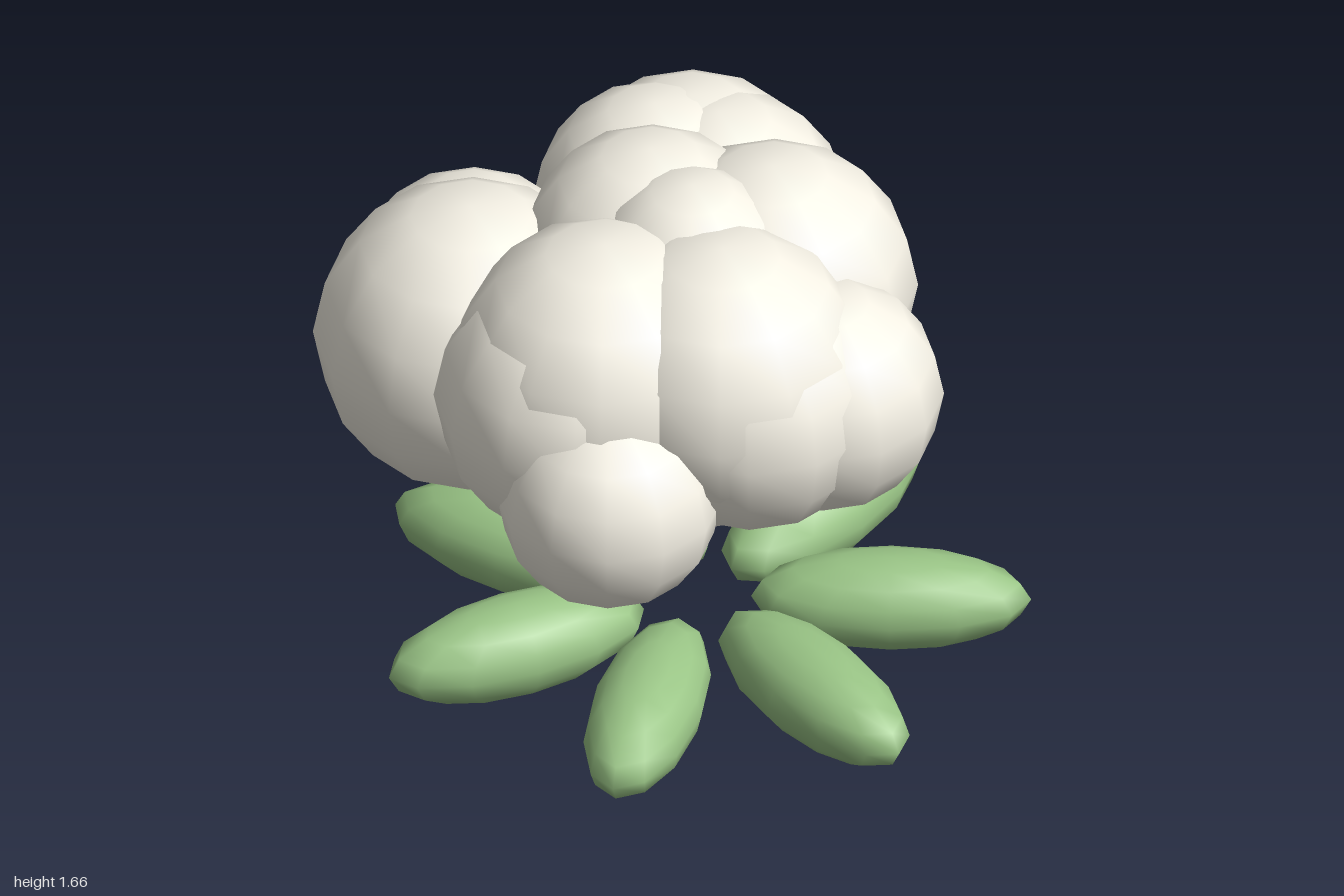
import * as THREE from 'three';

export function createModel() {
  const model = new THREE.Group();
  const ball = new THREE.SphereGeometry(1, 12, 8);
  const cream = new THREE.MeshStandardMaterial({ color: 0xf5f1e5 });
  const green = new THREE.MeshStandardMaterial({ color: 0x9ac586 });

  // Clustered head of overlapping florets: x, y, z, radius
  const florets = [
    [-0.56, 1.04, 0.0, 0.44],
    [-0.56, 1.0, -0.25, 0.35],
    [0.04, 1.05, -0.585, 0.39],
    [-0.06, 1.12, -0.52, 0.34],
    [0.12, 1.06, -0.51, 0.38],
    [0.28, 1.225, -0.005, 0.405],
    [-0.06, 1.285, -0.05, 0.365],
    [0.06, 1.355, 0.13, 0.305],
    [0.15, 1.21, 0.385, 0.42],
    [0.23, 1.15, 0.42, 0.38],
    [0.43, 1.12, 0.36, 0.335],
    [-0.18, 1.2, 0.375, 0.43],
    [-0.25, 1.13, 0.41, 0.405],
    [-0.16, 0.97, 0.66, 0.315],
    [0.04, 1.1, 0.33, 0.4], // core
  ];
  const head = new THREE.Group();
  head.name = 'floretHead';
  florets.forEach(([x, y, z, r], i) => {
    const floret = new THREE.Mesh(ball, cream);
    floret.name = `floret${i + 1}`;
    floret.position.set(x, y, z);
    floret.scale.setScalar(r);
    head.add(floret);
  });
  model.add(head);

  // Ring of seven flattened leaves radiating from the base
  const leaves = new THREE.Group();
  leaves.name = 'leafRing';
  leaves.position.set(0.064, 0.143, 0);
  for (let i = 0; i < 7; i++) {
    const angle = (i / 7) * Math.PI * 2;
    const leaf = new THREE.Mesh(ball, green);
    leaf.name = `leaf${i + 1}`;
    leaf.position.set(Math.cos(angle) * 0.546, 0, Math.sin(angle) * 0.546);
    leaf.rotation.y = -angle;
    leaf.scale.set(0.39, 0.14, 0.155);
    leaves.add(leaf);
  }
  model.add(leaves);
  return model;
}
